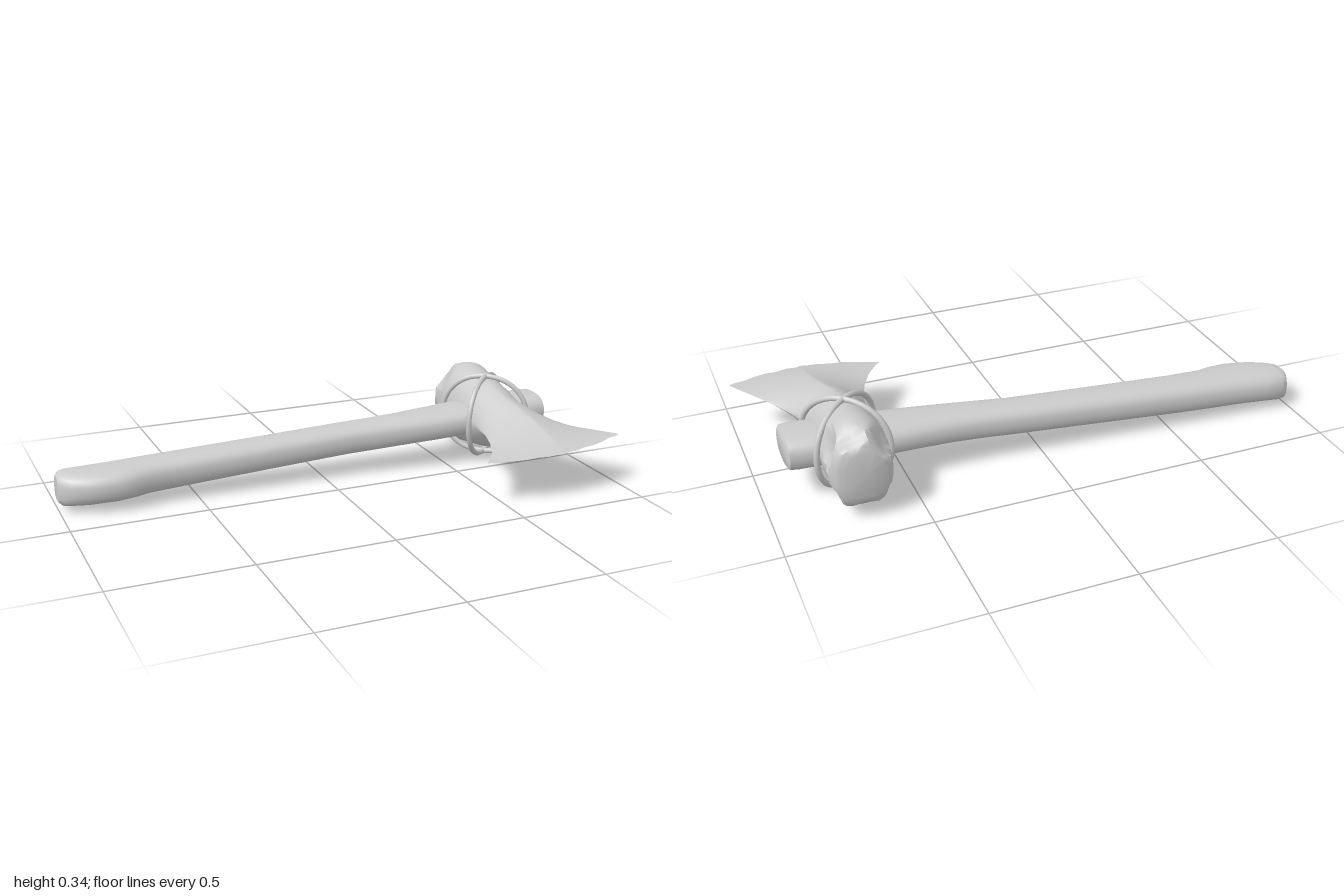
import * as THREE from 'three';
import { toCreasedNormals } from 'three/addons/utils/BufferGeometryUtils.js';

const material = new THREE.MeshStandardMaterial({ color: 0xcccccc });

// Skin a list of closed rings (counter-clockwise seen from the last ring) and cap both ends
function loft(rings, crease) {
  const n = rings[0].length;
  const pos = [];
  const idx = [];
  rings.forEach((ring) => ring.forEach((p) => pos.push(p.x, p.y, p.z)));
  for (let i = 0; i < rings.length - 1; i++) {
    for (let j = 0; j < n; j++) {
      const k = (j + 1) % n;
      const a = i * n + j, b = i * n + k, c = a + n, d = b + n;
      idx.push(a, b, d, a, d, c);
    }
  }
  [0, rings.length - 1].forEach((r) => {
    const mid = rings[r].reduce((s, p) => s.add(p), new THREE.Vector3()).divideScalar(n);
    const m = pos.length / 3;
    pos.push(mid.x, mid.y, mid.z);
    for (let j = 0; j < n; j++) {
      const a = r * n + j, b = r * n + (j + 1) % n;
      if (r === 0) idx.push(m, b, a);
      else idx.push(m, a, b);
    }
  });
  const g = new THREE.BufferGeometry();
  g.setAttribute('position', new THREE.Float32BufferAttribute(pos, 3));
  g.setIndex(idx);
  return toCreasedNormals(g, crease);
}

// Point on a unit superellipse: n = 1 diamond, 2 ellipse, above 2 boxy
function superPoint(t, n) {
  const f = (v) => Math.sign(v) * Math.pow(Math.abs(v), 2 / n);
  return [f(Math.cos(t)), f(Math.sin(t))];
}

// Insert linearly blended sections between the given ones
function subdivide(sections, steps) {
  const out = [];
  for (let i = 0; i < sections.length - 1; i++) {
    for (let s = 0; s < steps; s++) {
      out.push(sections[i].map((v, k) => THREE.MathUtils.lerp(v, sections[i + 1][k], s / steps)));
    }
  }
  out.push(sections[sections.length - 1]);
  return out;
}

// Wooden handle: x, yMin, yMax, zMin, zMax
function buildHandle() {
  const sections = [
    [-1.0, 0.035, 0.13, -0.26, -0.175],
    [-0.985, 0.022, 0.142, -0.285, -0.155],
    [-0.96, 0.022, 0.146, -0.295, -0.135],
    [-0.9, 0.025, 0.15, -0.293, -0.107],
    [-0.8, 0.03, 0.155, -0.287, -0.09],
    [-0.73, 0.034, 0.158, -0.284, -0.098],
    [-0.68, 0.037, 0.16, -0.281, -0.112],
    [-0.55, 0.044, 0.165, -0.275, -0.115],
    [-0.2, 0.066, 0.182, -0.258, -0.107],
    [0.1, 0.084, 0.198, -0.243, -0.099],
    [0.2, 0.09, 0.203, -0.237, -0.086],
    [0.32, 0.097, 0.21, -0.235, -0.072],
    [0.45, 0.104, 0.217, -0.242, -0.056],
    [0.57, 0.11, 0.224, -0.25, -0.046],
    [0.75, 0.115, 0.238, -0.245, -0.04],
    [0.88, 0.114, 0.244, -0.236, -0.038],
    [0.905, 0.118, 0.242, -0.232, -0.04],
    [0.913, 0.13, 0.23, -0.218, -0.055],
  ];
  const rings = sections.map(([x, y0, y1, z0, z1]) => Array.from({ length: 28 }, (_, j) => {
    const [u, v] = superPoint((j / 28) * Math.PI * 2, 2.6);
    return new THREE.Vector3(x, (y0 + y1) / 2 + u * (y1 - y0) / 2, (z0 + z1) / 2 + v * (z1 - z0) / 2);
  }));
  return loft(rings, 0.7);
}

// Stone head: z, xMin, xMax, half height, section exponent, bow of the edge
function buildHead() {
  const sections = subdivide([
    [-0.41, 0.625, 0.765, 0.085, 2.6, 0],
    [-0.4, 0.605, 0.79, 0.115, 2.5, 0],
    [-0.375, 0.595, 0.812, 0.142, 2.3, 0],
    [-0.34, 0.588, 0.812, 0.153, 2.2, 0],
    [-0.285, 0.583, 0.808, 0.163, 2.1, 0],
    [-0.2, 0.58, 0.806, 0.146, 2, 0],
    [-0.1, 0.578, 0.804, 0.13, 1.8, 0],
    [0.0, 0.577, 0.806, 0.107, 1.5, 0],
    [0.1, 0.563, 0.853, 0.083, 1.25, 0.003],
    [0.2, 0.533, 0.905, 0.055, 1.1, 0.012],
    [0.3, 0.493, 0.955, 0.029, 1, 0.03],
    [0.37, 0.452, 0.988, 0.01, 1, 0.045],
    [0.402, 0.43, 1.0, 0.002, 1, 0.052],
  ], 3);
  // Chipped hollows: x, y, z, radius, depth
  const chips = [
    [0.8, 0.25, -0.31, 0.07, 0.035],
    [0.79, 0.11, -0.33, 0.06, 0.025],
    [0.74, 0.32, -0.38, 0.05, 0.022],
    [0.62, 0.28, -0.37, 0.06, 0.025],
    [0.6, 0.1, -0.36, 0.05, 0.02],
    [0.7, 0.03, -0.39, 0.05, 0.02],
  ];
  const n = 40;
  const rings = sections.map(([z, x0, x1, h, e, bow]) => Array.from({ length: n }, (_, j) => {
    const [u, v] = superPoint((j / n) * Math.PI * 2, e);
    const x = (x0 + x1) / 2 + u * (x1 - x0) / 2;
    // small nicks along the cutting edge
    const nick = z > 0.39 ? 0.007 * Math.max(0, Math.sin(x * 95)) : 0;
    const p = new THREE.Vector3(x, 0.18 + (x - 0.7) * 0.05 + v * h, z - bow * u * u - Math.max(0, u) * bow * 0.35 - nick);
    chips.forEach(([cx, cy, cz, r, depth]) => {
      const d = p.distanceTo(new THREE.Vector3(cx, cy, cz));
      if (d < r) {
        const k = depth * Math.sqrt(1 - d / r);
        const inward = new THREE.Vector3(0.695 - p.x, 0.18 - p.y, 0).normalize();
        p.addScaledVector(inward, k);
      }
    });
    return p;
  }));
  return loft(rings, 0.6);
}

// One lashing: a closed oval loop running diagonally across the head
class LashingCurve extends THREE.Curve {
  constructor(side) {
    super();
    this.side = side;
  }
  getPoint(t, target = new THREE.Vector3()) {
    const [u, v] = superPoint(t * Math.PI * 2, 2.1);
    return target.set(0.694 + this.side * u * 0.129, 0.17 + v * 0.156, -0.147 + u * 0.109);
  }
}

export function createModel() {
  const group = new THREE.Group();
  const add = (name, geometry) => {
    const mesh = new THREE.Mesh(geometry, material);
    mesh.name = name;
    group.add(mesh);
  };
  add('handle', buildHandle());
  add('axeHead', buildHead());
  [1, -1].forEach((side) => {
    add(side > 0 ? 'lashingA' : 'lashingB', new THREE.TubeGeometry(new LashingCurve(side), 72, 0.0105, 8, true));
  });
  return group;
}
